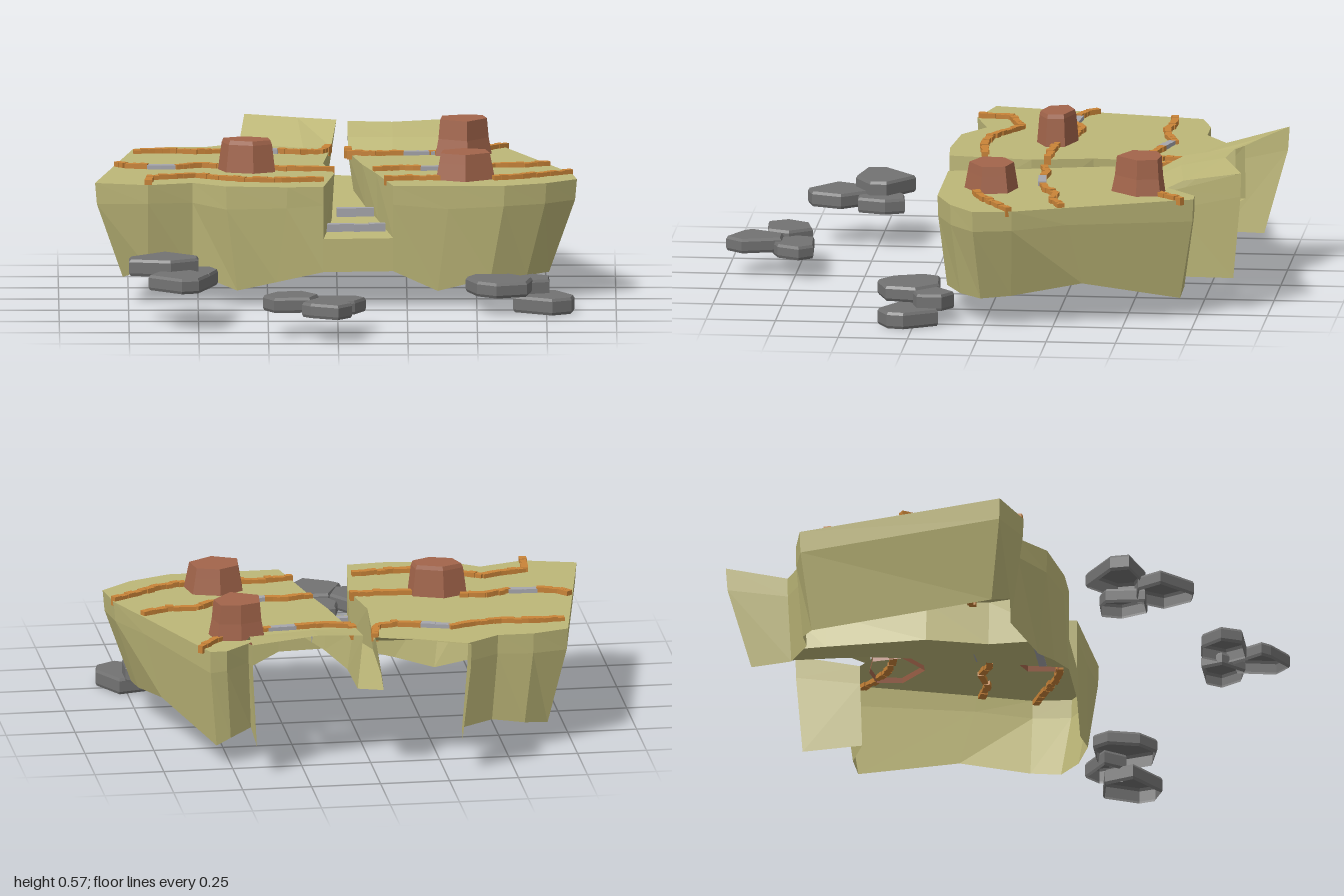
import * as THREE from 'three';
import { mergeGeometries } from 'three/addons/utils/BufferGeometryUtils.js';

const mat = (color) => new THREE.MeshStandardMaterial({ color, flatShading: true, side: THREE.DoubleSide });
const EARTH = mat(0xbdb778), CLAY = mat(0xa3654b), BRICK = mat(0xc98438), STONE = mat(0x737373), SLAB = mat(0xa6a6ac);
const TOP = 0.44;

let seed = 7;
const rand = () => (seed = (seed * 16807) % 2147483647) / 2147483647;

function add(parent, name, geometry, material) {
  const mesh = new THREE.Mesh(geometry, material);
  mesh.name = name;
  parent.add(mesh);
  return mesh;
}

// Surface through rows of [x, y, z] points; closed rows wrap round
function loft(rows, closed = false) {
  const pos = [], n = rows[0].length;
  for (let r = 0; r < rows.length - 1; r++) {
    for (let i = 0; i < (closed ? n : n - 1); i++) {
      const j = (i + 1) % n, a = rows[r], b = rows[r + 1];
      pos.push(...a[i], ...b[i], ...b[j], ...a[i], ...b[j], ...a[j]);
    }
  }
  const g = new THREE.BufferGeometry();
  g.setAttribute('position', new THREE.Float32BufferAttribute(pos, 3));
  g.computeVertexNormals();
  return g;
}

// Flat horizontal polygon from [x, z] corners
function flat(points, y) {
  const shape = new THREE.Shape(points.map(([x, z]) => new THREE.Vector2(x, -z)));
  return new THREE.ShapeGeometry(shape).rotateX(-Math.PI / 2).translate(0, y, 0);
}

// Tapering polygon prism: levels are [y, scale] from bottom to top, open underneath
function prism(outline, levels) {
  const n = outline.length;
  const cx = outline.reduce((s, p) => s + p[0], 0) / n, cz = outline.reduce((s, p) => s + p[1], 0) / n;
  const ring = (k) => outline.map(([x, z]) => [cx + (x - cx) * k, cz + (z - cz) * k]);
  const rows = levels.map(([y, k]) => ring(k).map(([x, z]) => [x, y, z]));
  const [topY, topK] = levels[levels.length - 1];
  const cap = flat(ring(topK), topY).toNonIndexed();
  cap.deleteAttribute('uv');
  return mergeGeometries([loft(rows.map((r) => r.reverse()), true), cap]);
}

// Boxes laid end to end along a path of [x, z] points
function course(points, y, step, w, h, jitter) {
  const boxes = [];
  for (let i = 0; i < points.length - 1; i++) {
    const [x0, z0] = points[i], [x1, z1] = points[i + 1];
    const len = Math.hypot(x1 - x0, z1 - z0), n = Math.max(1, Math.round(len / step));
    for (let k = 0; k < n; k++) {
      const t = (k + 0.5) / n, j = () => (rand() - 0.5) * jitter;
      boxes.push(new THREE.BoxGeometry(len / n * 1.05, h + j(), w + j())
        .rotateY(-Math.atan2(z1 - z0, x1 - x0) + j() * 15)
        .translate(x0 + (x1 - x0) * t, y + j() * 0.4, z0 + (z1 - z0) * t + j()));
    }
  }
  return mergeGeometries(boxes);
}

export function createModel() {
  const model = new THREE.Group();
  model.name = 'terracedPlateau';

  // Channel edges, back to front
  const leftEdge = [[-0.02, -0.69], [-0.05, -0.32], [-0.01, -0.1], [-0.05, 0.2]];
  const rightEdge = [[0.04, -0.58], [0.09, -0.3], [0.14, -0.1], [0.2, 0.18]];

  // Plateau tops on both sides of the channel
  const leftRim = [[-0.35, -0.77], [-0.47, -0.69], [-0.6, -0.69], [-0.73, -0.65], [-0.87, 0.11], [-0.68, 0.16],
    [-0.52, 0.11], [-0.4, 0.19], [-0.18, 0.21]];
  const rightRim = [[0.4, 0.18], [0.6, 0.18], [0.75, 0.12], [0.86, 0.03], [0.84, -0.11], [0.76, -0.3],
    [0.58, -0.74], [0.52, -0.74], [0.43, -0.66]];
  add(model, 'leftPlateauTop', flat([...leftRim, ...leftEdge.slice().reverse(), [-0.12, -0.67]], TOP), EARTH);
  add(model, 'rightPlateauTop', flat([...rightEdge, ...rightRim, [0.35, -0.58]], TOP), EARTH);

  // Back lips that sweep upward
  add(model, 'leftBackLip', loft([
    [[-0.33, 0.51, -1], [-0.14, 0.51, -0.92], [0, 0.51, -0.87]],
    [[-0.35, TOP, -0.77], [-0.12, TOP, -0.67], [-0.02, TOP, -0.69]]]), EARTH);
  add(model, 'rightBackLip', loft([
    [[0.04, 0.51, -0.84], [0.2, 0.51, -0.82], [0.45, 0.51, -0.9]],
    [[0.04, 0.48, -0.66], [0.2, 0.48, -0.66], [0.43, 0.475, -0.69]],
    [[0.04, TOP, -0.58], [0.2, TOP, -0.58], [0.43, TOP, -0.62]]]), EARTH);

  // Cliff skirts: each entry is top [x, y, z], then foot [x, y, z]
  const skirt = (name, list) => {
    const mid = ([a, b], k) => [a[0] + (b[0] - a[0]) * k * 0.3, a[1] + (b[1] - a[1]) * k, a[2] + (b[2] - a[2]) * k * 0.3];
    add(model, name, loft([list.map((p) => p[0]), list.map((p) => mid(p, 0.22)), list.map((p) => p[1])]), EARTH);
  };
  const leftFeet = [[-0.33, 0.12, -0.76], [-0.45, 0.12, -0.68], [-0.57, 0.1, -0.67], [-0.66, 0.08, -0.62],
    [-0.77, 0.09, 0.06], [-0.68, 0.13, 0.11], [-0.52, 0.11, 0.08], [-0.36, 0.055, 0.15], [-0.22, 0.09, 0.18]];
  skirt('leftCliff', [[[-0.33, 0.51, -1], [-0.31, 0.12, -0.91]],
    ...leftRim.map(([x, z], i) => [[x, TOP, z], leftFeet[i]]), [[-0.05, TOP, 0.2], [-0.05, 0.13, 0.2]]]);
  const rightFeet = [[0.36, 0.055, 0.16], [0.55, 0.1, 0.15], [0.68, 0.1, 0.09], [0.76, 0.1, 0.01], [0.75, 0.11, -0.1],
    [0.7, 0.15, -0.35], [0.55, 0.07, -0.69], [0.5, 0.1, -0.7], [0.42, 0.12, -0.65]];
  skirt('rightCliff', [[[0.2, TOP, 0.18], [0.2, 0.13, 0.18]],
    ...rightRim.map(([x, z], i) => [[x, TOP, z], rightFeet[i]]), [[0.45, 0.51, -0.9], [0.43, 0.12, -0.87]]]);

  // Sunken channel: two banks, sloping bed and front drop
  const bedY = [0.3, 0.285, 0.27, 0.25];
  const bank = (edge, back, out) => {
    const top = [back, ...edge.map(([x, z]) => [x, TOP, z])];
    const foot = [[back[0] + out, 0.31, back[2]], ...edge.map(([x, z], i) => [x + out * (1 - i / 3), bedY[i], z])];
    return [top, foot];
  };
  const left = bank(leftEdge, [0, 0.51, -0.87], -0.03), right = bank(rightEdge, [0.04, 0.51, -0.84], 0.02);
  add(model, 'leftChannelBank', loft(left), EARTH);
  add(model, 'rightChannelBank', loft(right), EARTH);
  add(model, 'channelBed', loft([right[1], left[1]]), EARTH);
  add(model, 'channelDrop', loft([[[-0.05, 0.25, 0.2], [0.2, 0.25, 0.18]], [[-0.05, 0.13, 0.2], [0.2, 0.13, 0.18]]]), EARTH);

  // Brick retaining courses along the terraces
  const courses = [
    [[-0.73, -0.55], [-0.6, -0.56], [-0.5, -0.54], [-0.4, -0.56], [-0.31, -0.59]],
    [[-0.21, -0.55], [-0.13, -0.53], [-0.06, -0.54], [-0.04, -0.58], [-0.03, -0.66]],
    [[0.04, -0.62], [0.04, -0.52], [0.14, -0.5], [0.24, -0.51]],
    [[0.33, -0.52], [0.45, -0.55], [0.54, -0.62], [0.61, -0.7]],
    [[-0.79, -0.27], [-0.76, -0.23], [-0.68, -0.21]],
    [[-0.58, -0.2], [-0.49, -0.24], [-0.4, -0.22]],
    [[-0.24, -0.17], [-0.12, -0.16], [-0.01, -0.16]],
    [[0.13, -0.16], [0.22, -0.18], [0.3, -0.17]],
    [[0.41, -0.18], [0.5, -0.2], [0.56, -0.24], [0.67, -0.24], [0.76, -0.28]],
    [[-0.68, 0.15], [-0.67, 0.03], [-0.58, 0.01], [-0.51, -0.02], [-0.42, 0.04], [-0.33, 0.08], [-0.2, 0.09], [-0.05, 0.07]],
    [[0.17, 0.06], [0.27, 0.04], [0.37, 0.04]],
    [[0.56, 0.05], [0.66, 0.01], [0.76, -0.05], [0.84, -0.1]],
  ];
  courses.forEach((p) => add(model, 'brickCourse', course(p, 0.44, 0.028, 0.024, 0.032, 0.008), BRICK));

  // Grey slabs filling the breaks in the courses and crossing the bed
  const slabs = [
    [[[-0.31, -0.58], [-0.21, -0.55]], 0.44], [[[0.24, -0.51], [0.35, -0.52]], 0.44],
    [[[-0.68, -0.21], [-0.58, -0.2]], 0.44], [[[0.3, -0.17], [0.41, -0.18]], 0.44],
    [[[0, -0.155], [0.13, -0.16]], 0.29], [[[-0.05, 0.075], [0.17, 0.06]], 0.27],
  ];
  slabs.forEach(([p, y]) => add(model, 'slabCrossing', course(p, y, 0.06, 0.028, 0.03, 0.004), SLAB));

  // Clay mounds
  const mounds = [
    [0.54, [[-0.43, -0.2], [-0.34, -0.24], [-0.23, -0.2], [-0.22, -0.13], [-0.3, -0.09], [-0.4, -0.12]], 0.555],
    [0.5, [[0.36, -0.05], [0.45, -0.1], [0.55, -0.07], [0.57, 0.03], [0.46, 0.1], [0.35, 0.05]], 0.535],
    [0.5, [[0.36, -0.6], [0.45, -0.63], [0.54, -0.62], [0.56, -0.53], [0.47, -0.43], [0.35, -0.49]], 0.57],
  ];
  mounds.forEach(([mid, p, top]) => add(model, 'clayMound', prism(p, [[0.42, 1], [mid, 0.86], [top, 0.8]]), CLAY));

  // Flat stepping stones in three clusters: bottom, top, outline
  const stones = [
    [0.175, 0.235, [[-0.75, 0.49], [-0.62, 0.375], [-0.5, 0.47], [-0.5, 0.53], [-0.6, 0.59], [-0.75, 0.56]]],
    [0.13, 0.185, [[-0.58, 0.44], [-0.54, 0.41], [-0.46, 0.4], [-0.43, 0.47], [-0.46, 0.57], [-0.56, 0.58]]],
    [0.14, 0.195, [[-0.68, 0.66], [-0.64, 0.57], [-0.53, 0.54], [-0.46, 0.63], [-0.5, 0.74], [-0.56, 0.76]]],
    [0.09, 0.145, [[-0.27, 0.8], [-0.22, 0.72], [-0.13, 0.7], [-0.07, 0.78], [-0.1, 0.86], [-0.23, 0.87]]],
    [0.075, 0.125, [[-0.1, 0.77], [-0.08, 0.69], [0.06, 0.68], [0.1, 0.73], [0.06, 0.81], [-0.02, 0.84]]],
    [0.085, 0.138, [[-0.13, 0.92], [-0.07, 0.8], [0.01, 0.8], [0.05, 0.94], [0, 1], [-0.1, 0.95]]],
    [0.065, 0.12, [[0.46, 0.24], [0.49, 0.18], [0.62, 0.17], [0.7, 0.25], [0.68, 0.36], [0.57, 0.4], [0.5, 0.35]]],
    [0.05, 0.11, [[0.6, 0.2], [0.7, 0.11], [0.76, 0.15], [0.76, 0.24], [0.66, 0.27]]],
    [0, 0.06, [[0.63, 0.3], [0.66, 0.19], [0.78, 0.16], [0.85, 0.28], [0.84, 0.34], [0.77, 0.38]]],
  ];
  stones.forEach(([lo, hi, p]) => add(model, 'steppingStone',
    prism(p, [[lo, 0.95], [lo + 0.01, 1], [hi - 0.01, 1], [hi, 0.94]]), STONE));

  return model;
}
